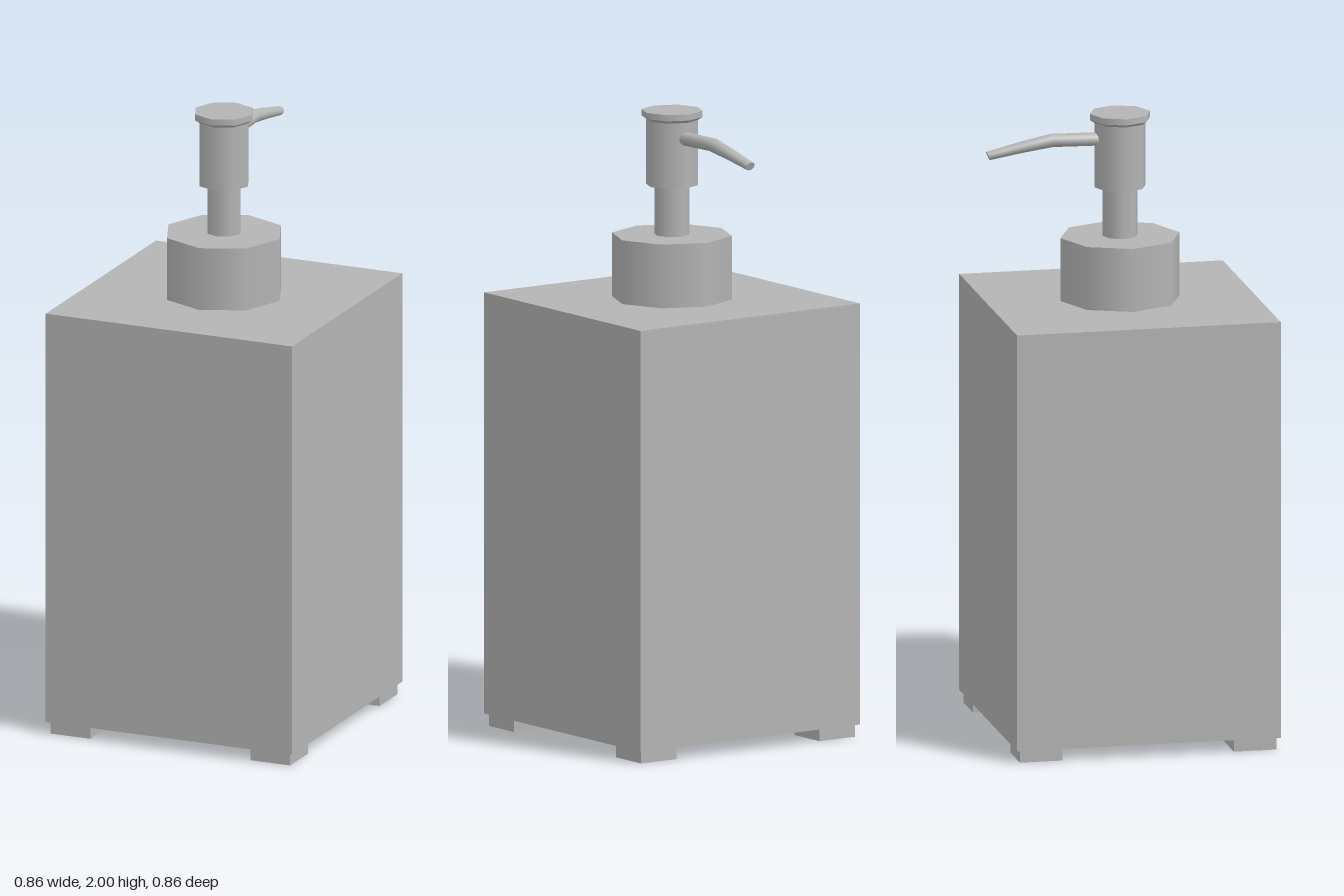
import * as THREE from 'three';

const grey = new THREE.MeshStandardMaterial({ color: 0xb4b4b4 });
grey.name = 'grey';

const AXIS_Z = 0.003; // pump and bottle axis

function add(group, name, geometry, x, y, z) {
  const mesh = new THREE.Mesh(geometry, grey);
  mesh.name = name;
  mesh.position.set(x, y, z);
  group.add(mesh);
}

// Eight-sided upright cylinder between two heights
function octagon(group, name, rBottom, rTop, y0, y1) {
  add(group, name, new THREE.CylinderGeometry(rTop, rBottom, y1 - y0, 8), 0, (y0 + y1) / 2, AXIS_Z);
}

// Tapering, bent tube: each station is [z, y, radius x, radius y, tilt]
function spoutGeometry() {
  const stations = [
    [-0.04, 1.917, 0.024, 0.022, 0],
    [-0.22, 1.920, 0.024, 0.022, 0.12],
    [-0.32, 1.902, 0.0215, 0.018, 0.22],
    [-0.425, 1.880, 0.017, 0.0145, 0.4],
  ];
  const last = stations.length - 1;
  const geometry = new THREE.CylinderGeometry(1, 1, last, 12, last, false, Math.PI);
  geometry.rotateX(-Math.PI / 2);
  const p = geometry.attributes.position;
  for (let i = 0; i < p.count; i++) {
    const [z, y, rx, ry, tilt] = stations[Math.round(last / 2 - p.getZ(i))];
    const h = p.getY(i) * ry;
    p.setXYZ(i, p.getX(i) * rx, y + h * Math.cos(tilt), z - h * Math.sin(tilt));
  }
  geometry.computeVertexNormals();
  return geometry;
}

export function createModel() {
  const model = new THREE.Group();
  model.name = 'soapDispenser';

  // Square bottle on four small feet
  add(model, 'bottle', new THREE.BoxGeometry(0.855, 1.355, 0.855), 0, 0.7175, AXIS_Z);
  for (const sx of [-1, 1]) {
    for (const sz of [-1, 1]) {
      add(model, 'foot', new THREE.BoxGeometry(0.138, 0.04, 0.138), sx * 0.347, 0.02, AXIS_Z + sz * 0.347);
    }
  }

  // Pump: collar, stem, head and flared cap
  octagon(model, 'collar', 0.193, 0.193, 1.395, 1.6);
  octagon(model, 'stem', 0.056, 0.056, 1.6, 1.76);
  octagon(model, 'pumpHead', 0.083, 0.083, 1.76, 1.972);
  octagon(model, 'capFlare', 0.083, 0.098, 1.97, 1.98);
  octagon(model, 'cap', 0.098, 0.098, 1.98, 2);

  // Spout pointing to the back
  add(model, 'spout', spoutGeometry(), 0, 0, 0);
  return model;
}
